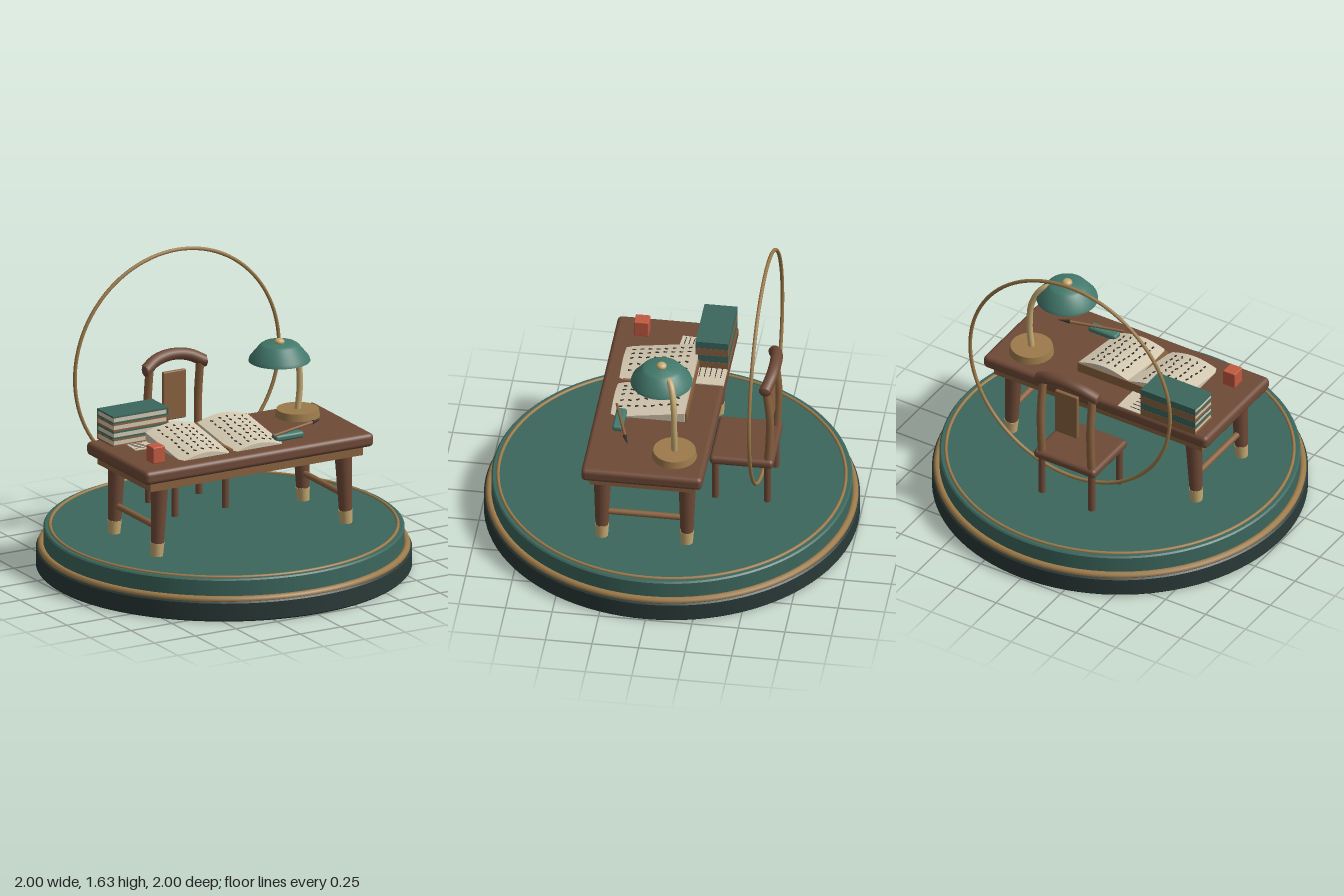
import * as THREE from 'three';
import { RoundedBoxGeometry } from 'three/addons/geometries/RoundedBoxGeometry.js';
import { mergeGeometries, toCreasedNormals } from 'three/addons/utils/BufferGeometryUtils.js';

const mat = (color, side = THREE.FrontSide) => {
  const m = new THREE.MeshStandardMaterial({ side });
  m.color.set(color);
  return m;
};
const teal = mat(0x3c675d), lampTeal = mat(0x43796c, THREE.DoubleSide), dark = mat(0x2a3a38);
const wood = mat(0x6f4a37), lightWood = mat(0x8a6240), brass = mat(0x9c7a4a), pale = mat(0xc6aa72);
const paper = mat(0xd3c8b0), ink = mat(0x34302c), red = mat(0xc25a40), lining = mat(0x77736b);
const V = (x, y, z) => new THREE.Vector3(x, y, z);

export function createModel() {
  const root = new THREE.Group();
  const group = (name, parent = root) => {
    const g = new THREE.Group();
    g.name = name;
    parent.add(g);
    return g;
  };
  const add = (parent, name, geo, material, x = 0, y = 0, z = 0) => {
    const m = new THREE.Mesh(geo, material);
    m.name = name;
    m.position.set(x, y, z);
    parent.add(m);
    return m;
  };
  const box = (w, h, d, r = 0) => r ? new RoundedBoxGeometry(w, h, d, 3, r) : new THREE.BoxGeometry(w, h, d);
  const tube = (pts, r, seg = 24) => new THREE.TubeGeometry(new THREE.CatmullRomCurve3(pts), seg, r, 12);
  // Tapered round bar between two points
  const bar = (parent, name, a, b, ra, rb, material) => {
    const m = add(parent, name, new THREE.CylinderGeometry(rb, ra, a.distanceTo(b), 16), material);
    m.position.copy(a).lerp(b, 0.5);
    m.quaternion.setFromUnitVectors(V(0, 1, 0), b.clone().sub(a).normalize());
    return m;
  };
  const flatRing = (parent, name, R, r, y, material) => {
    add(parent, name, new THREE.TorusGeometry(R, r, 10, 96), material, 0, y, 0).rotation.x = Math.PI / 2;
  };
  // Disc with softened rims
  const disc = (r, y0, y1, e) => toCreasedNormals(new THREE.LatheGeometry([
    [0, y0], [r - e, y0], [r, y0 + e], [r, y1 - e], [r - e, y1], [0, y1],
  ].map(p => new THREE.Vector2(...p)), 96), 0.6);

  // Round plinth
  const plinth = group('plinth');
  add(plinth, 'lowerPlinth', disc(1, 0, 0.11, 0.008), dark);
  add(plinth, 'upperPlinth', disc(0.96, 0.1, 0.225, 0.008), teal);
  flatRing(plinth, 'plinthBand', 0.972, 0.02, 0.115, brass);
  flatRing(plinth, 'topInlay', 0.925, 0.009, 0.226, brass);

  // Large hoop behind the chair
  add(root, 'hoop', new THREE.TorusGeometry(0.625, 0.01, 10, 96), brass, 0, 0.993, -0.503);

  // Desk
  const desk = group('desk');
  const cz = 0.065;
  add(desk, 'deskTop', box(1.4, 0.075, 0.65, 0.025), wood, 0, 0.692, cz);
  for (const s of [-1, 1]) {
    add(desk, 'longApron', box(1.3, 0.06, 0.035), lightWood, 0, 0.635, cz + s * 0.268);
    add(desk, 'sideApron', box(0.035, 0.06, 0.5), lightWood, s * 0.632, 0.635, cz);
    for (const t of [-1, 1]) {
      const z = cz + t * 0.228;
      bar(desk, 'deskLeg', V(s * 0.578, 0.26, z), V(s * 0.561, 0.66, z), 0.034, 0.049, wood);
      bar(desk, 'legFoot', V(s * 0.58, 0.225, z), V(s * 0.576, 0.298, z), 0.033, 0.038, pale);
    }
    bar(desk, 'sideStretcher', V(s * 0.572, 0.38, cz - 0.23), V(s * 0.572, 0.38, cz + 0.23), 0.017, 0.017, lightWood);
  }

  // Chair
  const chair = group('chair');
  add(chair, 'seat', box(0.385, 0.052, 0.345, 0.022), wood, 0, 0.48, -0.398);
  for (const s of [-1, 1]) {
    const x = s * 0.155;
    bar(chair, 'frontChairLeg', V(x, 0.225, -0.255), V(x, 0.47, -0.255), 0.019, 0.019, wood);
    bar(chair, 'backChairLeg', V(x, 0.225, -0.535), V(x, 0.47, -0.535), 0.019, 0.019, wood);
    add(chair, 'backPost', tube([V(x, 0.46, -0.535), V(x, 0.6, -0.545), V(x, 0.76, -0.548), V(x, 0.97, -0.525)], 0.022), lightWood);
  }
  const crest = [V(-0.18, 0.965, -0.525), V(-0.1, 1.005, -0.548), V(0, 1.02, -0.556), V(0.1, 1.005, -0.548), V(0.18, 0.965, -0.525)];
  add(chair, 'crestRail', tube(crest, 0.033), wood);
  for (const p of [crest[0], crest[4]]) add(chair, 'crestEnd', new THREE.SphereGeometry(0.033, 12, 8), wood, p.x, p.y, p.z).scale.x = 0.4;
  add(chair, 'backSplat', box(0.14, 0.27, 0.022, 0.006), lightWood, 0, 0.8, -0.535);

  // Desk lamp
  const lamp = group('lamp');
  add(lamp, 'lampBase', new THREE.CylinderGeometry(0.113, 0.12, 0.04, 40), brass, 0.5, 0.749, -0.085);
  add(lamp, 'lampArm', tube([V(0.5, 0.76, -0.085), V(0.513, 0.9, -0.085), V(0.497, 1.06, -0.08),
    V(0.44, 1.155, -0.055), V(0.35, 1.165, 0)], 0.017, 32), pale);
  const shade = [[0.145, 1.088], [0.165, 1.09], [0.16, 1.108], [0.105, 1.175], [0.09, 1.185], [0, 1.187]];
  add(lamp, 'lampShade', toCreasedNormals(new THREE.LatheGeometry(shade.map(p => new THREE.Vector2(...p)), 40), 0.6), lampTeal, 0.335, 0, 0.008);
  add(lamp, 'shadeLining', new THREE.CylinderGeometry(0.09, 0.145, 0.07, 40), lining, 0.335, 1.127, 0.008);
  add(lamp, 'shadeKnob', new THREE.SphereGeometry(0.028, 20, 12), pale, 0.335, 1.193, 0.008).scale.y = 0.7;

  // Stack of four closed books
  const stack = group('bookStack');
  for (let i = 0; i < 4; i++) {
    const book = group('closedBook', stack), cover = i % 2 ? teal : lightWood;
    book.position.set(-0.46, 0.752 + i * 0.0425, -0.172);
    add(book, 'pageBlock', box(0.322, 0.03, 0.164), paper, -0.003, 0, 0.002);
    for (const s of [-1, 1]) add(book, 'cover', box(0.338, 0.009, 0.176), cover, 0, s * 0.0163, 0);
    add(book, 'spine', box(0.008, 0.04, 0.176), cover, 0.165, 0, 0);
    add(book, 'backEdge', box(0.338, 0.04, 0.006), cover, 0, 0, -0.085);
  }

  // Loose sheets with short written lines
  for (const [x, z, w, d, turn] of [[-0.49, -0.045, 0.12, 0.14, -0.06], [-0.25, -0.172, 0.21, 0.17, 0]]) {
    const sheet = group('looseSheet');
    sheet.position.set(x, 0.732, z);
    sheet.rotation.y = turn;
    add(sheet, 'sheet', box(w, 0.005, d), paper);
    for (let i = 0; i < 5; i++) add(sheet, 'writtenLine', box(w * 0.6, 0.002, 0.004), ink, -w * 0.1, 0.003, (i - 2) * d * 0.17);
  }

  // Open book: arched pages rising toward the back
  const open = group('openBook');
  const pageY = (u, s) => 0.724 + 0.06 * s + 0.032 * Math.sin(Math.PI * u);
  const W = 0.307, D = 0.4, zFront = 0.303;
  for (const x0 of [-0.432, -0.108]) {
    const g = new THREE.BoxGeometry(W, 1, D, 16, 1, 10), p = g.attributes.position;
    for (let i = 0; i < p.count; i++) {
      const u = p.getX(i) / W + 0.5, s = 0.5 - p.getZ(i) / D;
      p.setXYZ(i, x0 + u * W, p.getY(i) > 0 ? pageY(u, s) : 0.722, zFront - s * D);
    }
    g.computeVertexNormals();
    add(open, 'openPage', g, paper);
    const marks = [];
    for (let c = 0; c < 5; c++) for (let r = 0; r < 8; r++) {
      const u = 0.2 + c * 0.15 + 0.012 * Math.sin(r * 5 + c * 3), s = 0.12 + r * 0.108;
      const m = new THREE.BoxGeometry(0.008, 0.006, 0.019);
      m.rotateY(0.5 * Math.sin(r * 3 + c * 7));
      m.translate(x0 + u * W, pageY(u, s), zFront - s * D);
      marks.push(m);
    }
    add(open, 'inkMarks', mergeGeometries(marks), ink);
  }
  add(open, 'bookCover', box(0.632, 0.055, 0.008), lightWood, -0.117, 0.757, -0.102);
  add(open, 'bookGutter', box(0.02, 0.012, 0.38), lightWood, -0.117, 0.735, 0.09);

  // Pen on its rest
  const pen = group('penSet');
  add(pen, 'penRest', box(0.175, 0.036, 0.058, 0.014), lampTeal, 0.25, 0.748, 0.245);
  const a = V(0.145, 0.772, 0.275), b = V(0.43, 0.778, 0.19), c = V(0.492, 0.779, 0.17);
  bar(pen, 'penBarrel', a, b, 0.007, 0.009, lightWood);
  bar(pen, 'penTip', b, c, 0.011, 0.001, ink);

  // Red seal block
  add(root, 'sealBlock', box(0.075, 0.09, 0.078, 0.005), red, -0.556, 0.777, 0.24);
  return root;
}
